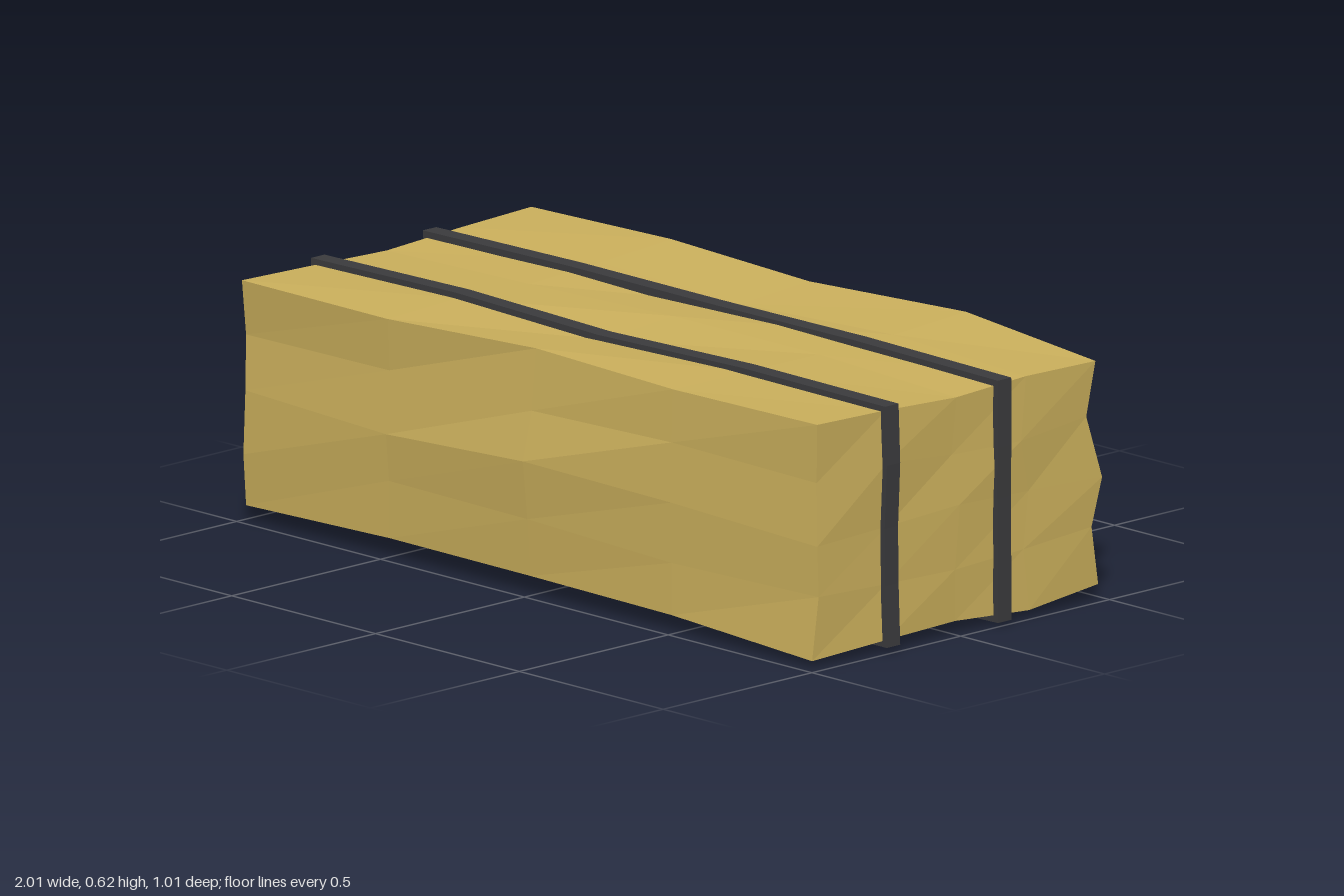
import * as THREE from 'three';

// Surface heights and depths on a 5 x 5 grid; columns run from -x to +x.
const TOP = [ // rows from back to front
  [0.61, 0.625, 0.615, 0.622, 0.6],
  [0.605, 0.61, 0.6, 0.61, 0.605],
  [0.59, 0.6, 0.612, 0.605, 0.595],
  [0.6, 0.608, 0.595, 0.608, 0.605],
  [0.605, 0.6, 0.615, 0.608, 0.612],
];
const BOTTOM = [
  [0.03, 0.02, 0.03, 0.025, 0.04],
  [0.03, 0.025, 0.025, 0.01, 0.02],
  [0.025, 0.02, 0.03, 0.025, 0.035],
  [0.03, 0.028, 0.035, 0.03, 0.033],
  [0.04, 0.05, 0.05, 0.045, 0.022],
];
const FRONT = [ // rows from bottom to top
  [0.48, 0.475, 0.48, 0.48, 0.48],
  [0.49, 0.48, 0.49, 0.48, 0.465],
  [0.49, 0.49, 0.505, 0.485, 0.47],
  [0.48, 0.475, 0.475, 0.48, 0.465],
  [0.495, 0.485, 0.46, 0.475, 0.47],
];
const BACK = [
  [-0.48, -0.47, -0.46, -0.46, -0.48],
  [-0.465, -0.48, -0.485, -0.48, -0.455],
  [-0.49, -0.48, -0.5, -0.49, -0.485],
  [-0.435, -0.46, -0.48, -0.47, -0.44],
  [-0.48, -0.47, -0.457, -0.51, -0.468],
];

const { lerp } = THREE.MathUtils;

// Position of grid point (i, j, k), each 0..4, in the lumpy block
function point(i, j, k) {
  const inside = j > 0 && j < 4 ? 0.012 * Math.sin(i * 2.3 + j * 4.1 + k * 1.7) : 0;
  return new THREE.Vector3(
    (i / 2 - 1) * (0.985 + 0.005 * Math.sin(i + j * 2.1 + k * 3.3)),
    lerp(BOTTOM[k][i], TOP[k][i], j / 4) + inside,
    lerp(BACK[j][i], FRONT[j][i], k / 4),
  );
}

function makeBale() {
  const geo = new THREE.BoxGeometry(4, 4, 4, 4, 4, 4);
  const pos = geo.attributes.position;
  for (let n = 0; n < pos.count; n++) {
    const p = point(...[pos.getX(n), pos.getY(n), pos.getZ(n)].map((v) => Math.round(v + 2)));
    pos.setXYZ(n, p.x, p.y, p.z);
  }
  geo.computeVertexNormals();
  return new THREE.Mesh(geo, new THREE.MeshStandardMaterial({ color: 0xc9ae5b, flatShading: true }));
}

// Closed loop round the block at depth z, pushed outwards by d
function loopAt(z, d) {
  const k = Math.floor((z + 0.48) / 0.24);
  const t = (z + 0.48) / 0.24 - k;
  const at = (i, j) => {
    const p = point(i, j, k).lerp(point(i, j, k + 1), t);
    return new THREE.Vector2(
      p.x + (i === 0 ? -d : i === 4 ? d : 0),
      p.y + (j === 0 ? -d : j === 4 ? d : 0),
    );
  };
  const pts = [];
  for (let i = 0; i < 4; i++) pts.push(at(i, 0));
  for (let j = 0; j < 4; j++) pts.push(at(4, j));
  for (let i = 4; i > 0; i--) pts.push(at(i, 4));
  for (let j = 4; j > 0; j--) pts.push(at(0, j));
  return pts;
}

// Binding band that follows the block all the way round
function makeStrap(z, width) {
  const shape = new THREE.Shape(loopAt(z, 0.015));
  shape.holes.push(new THREE.Path(loopAt(z, -0.012).reverse()));
  const geo = new THREE.ExtrudeGeometry(shape, { depth: width, bevelEnabled: false });
  geo.translate(0, 0, z - width / 2);
  return new THREE.Mesh(geo, new THREE.MeshStandardMaterial({ color: 0x3a3a3c, flatShading: true }));
}

export function createModel() {
  const group = new THREE.Group();
  group.name = 'strawBale';

  const bale = makeBale();
  bale.name = 'bale';
  group.add(bale);

  [['frontStrap', 0.23], ['backStrap', -0.147]].forEach(([name, z]) => {
    const strap = makeStrap(z, 0.045);
    strap.name = name;
    group.add(strap);
  });
  return group;
}
